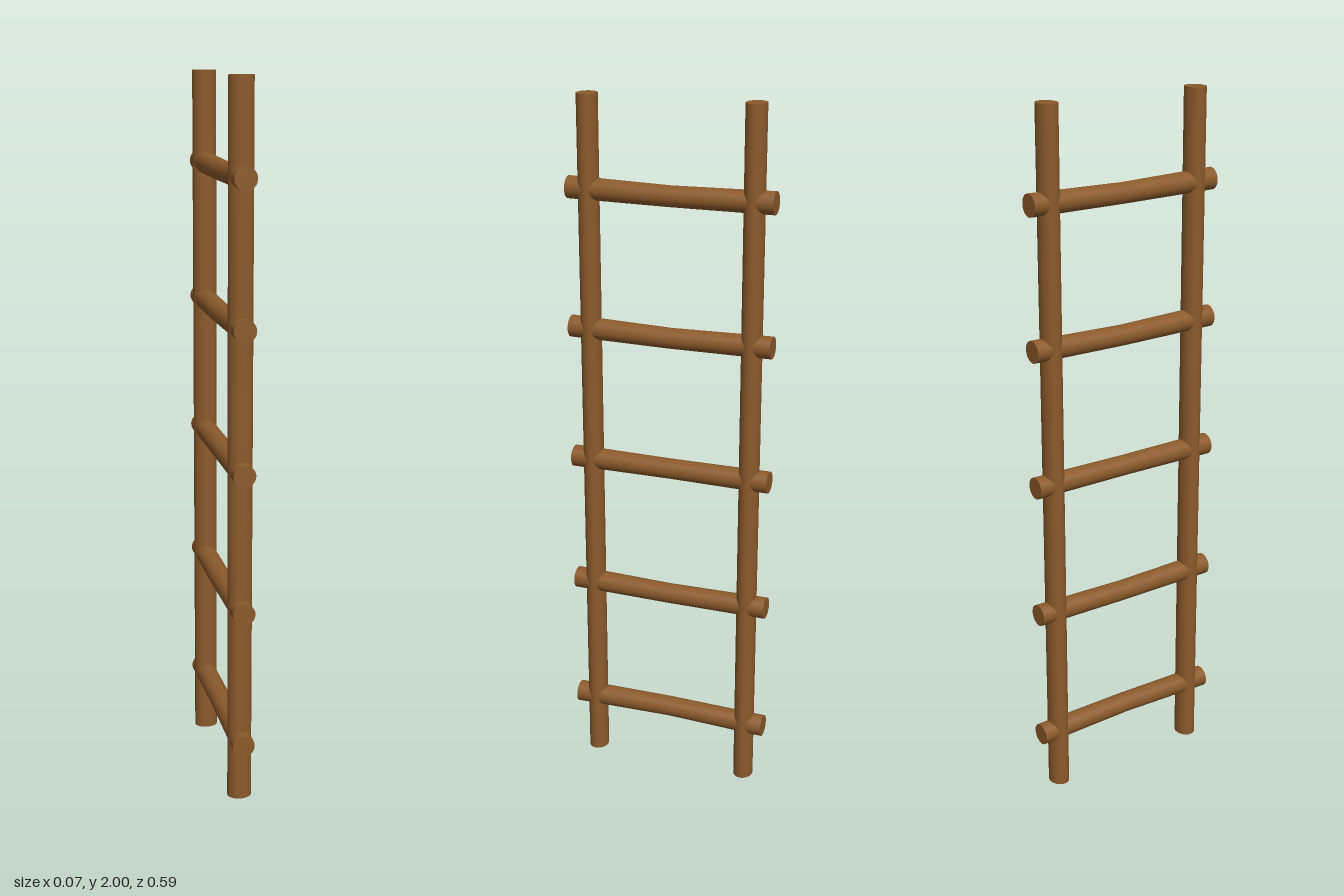
import * as THREE from 'three';

export function createModel() {
  const ladder = new THREE.Group();
  ladder.name = 'ladder';
  const wood = new THREE.MeshStandardMaterial({ color: 0x8b5a2b });

  // Two upright poles, slightly oval in section
  for (const side of [1, -1]) {
    const geometry = new THREE.CylinderGeometry(1, 1, 2, 32);
    geometry.scale(0.034, 1, 0.0285);
    const pole = new THREE.Mesh(geometry, wood);
    pole.name = side > 0 ? 'frontPole' : 'backPole';
    pole.position.set(0, 1, side * 0.235);
    ladder.add(pole);
  }

  // Five round rungs, each with its own slight bow at mid-span
  const length = 0.588;
  const bows = [0.006, -0.004, 0, -0.005, -0.004];
  bows.forEach((bow, i) => {
    const geometry = new THREE.CylinderGeometry(0.031, 0.031, length, 32, 12);
    geometry.rotateX(Math.PI / 2);
    const p = geometry.attributes.position;
    for (let v = 0; v < p.count; v++) {
      const bend = Math.max(0, 1 - Math.abs(p.getZ(v)) / (length / 2));
      p.setY(v, p.getY(v) * (1 - 0.08 * bend) + bow * bend);
    }
    geometry.computeBoundingSphere();
    const rung = new THREE.Mesh(geometry, wood);
    rung.name = `rung${i + 1}`;
    rung.position.y = 0.175 + i * 0.3925;
    ladder.add(rung);
  });

  return ladder;
}
